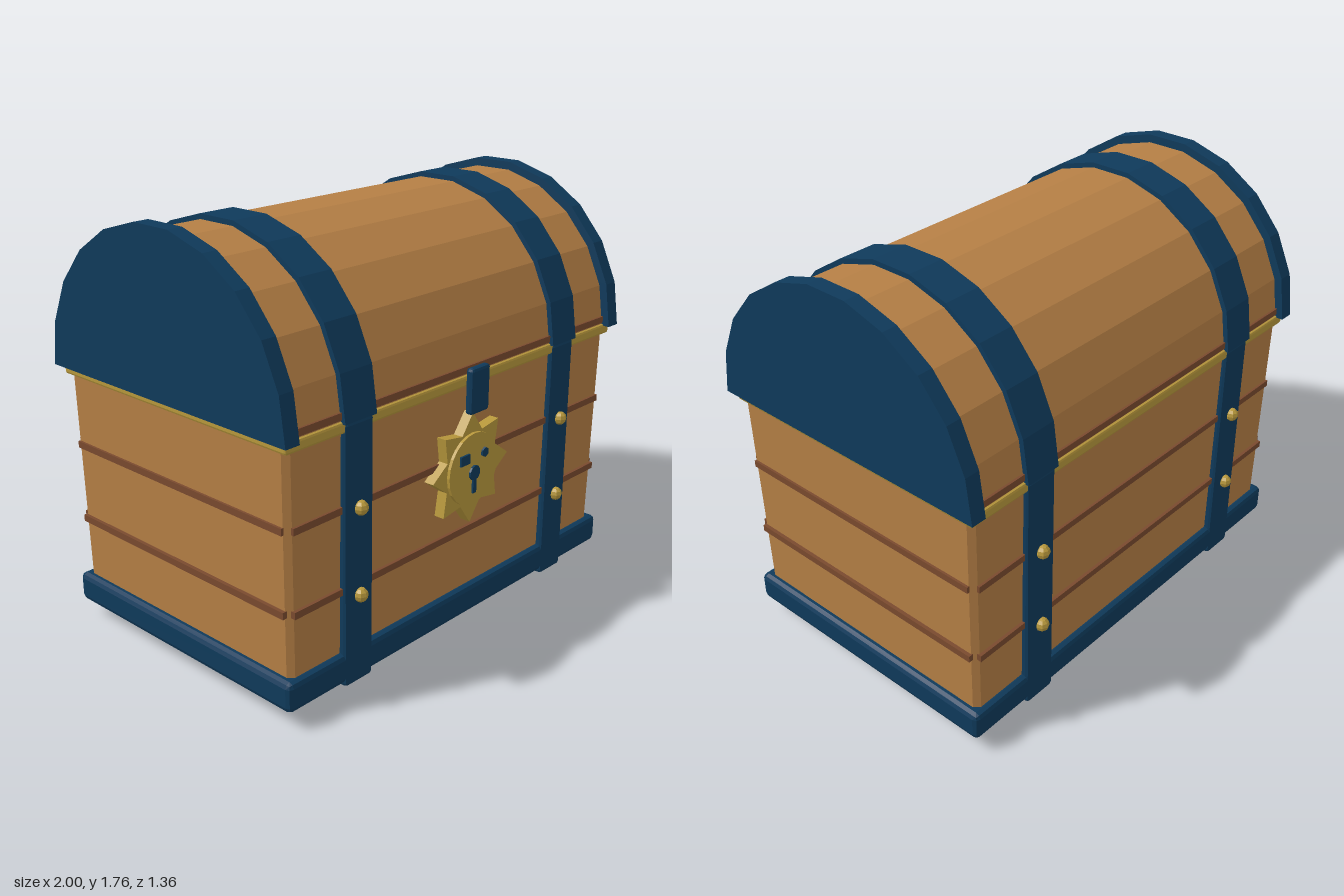
import * as THREE from 'three';
import { RoundedBoxGeometry } from 'three/addons/geometries/RoundedBoxGeometry.js';

const ZC = -0.01; // the chest sits slightly back so the clasp fits in front
const LID_Y = 1.112;

function material(name, color) {
  const m = new THREE.MeshStandardMaterial({ color });
  m.name = name;
  return m;
}

// Faceted look: one normal per face
function faceted(geo) {
  const g = geo.index ? geo.toNonIndexed() : geo;
  g.computeVertexNormals();
  return g;
}

// Half-round barrel section with eleven flat staves, running along x
function barrel(radius, width) {
  const pts = [];
  for (let i = 0; i <= 11; i++) {
    const a = (i / 11) * Math.PI;
    pts.push(new THREE.Vector2(Math.cos(a) * radius, Math.sin(a) * radius));
  }
  const g = new THREE.ExtrudeGeometry(new THREE.Shape(pts), { depth: width, bevelEnabled: false });
  g.translate(0, 0, -width / 2);
  g.rotateY(Math.PI / 2);
  return faceted(g);
}

// Upright box with chamfered corners that widens towards the top
function taperedBody(hx, hz, y0, y1, c, flareX, flareZ) {
  const s = new THREE.Shape([
    [hx - c, -hz], [hx, -hz + c], [hx, hz - c], [hx - c, hz],
    [-hx + c, hz], [-hx, hz - c], [-hx, -hz + c], [-hx + c, -hz],
  ].map(([x, y]) => new THREE.Vector2(x, y)));
  const g = new THREE.ExtrudeGeometry(s, { depth: y1 - y0, bevelEnabled: false });
  g.rotateX(-Math.PI / 2);
  g.translate(0, y0, 0);
  const p = g.attributes.position;
  for (let i = 0; i < p.count; i++) {
    const t = (p.getY(i) - y0) / (y1 - y0);
    p.setX(i, p.getX(i) * (1 + flareX * t));
    p.setZ(i, p.getZ(i) * (1 + flareZ * t));
  }
  return faceted(g);
}

export function createModel() {
  const root = new THREE.Group();
  root.name = 'treasureChest';
  const wood = material('wood', 0xb57f45);
  const darkWood = material('darkWood', 0x7a4a2e);
  const blue = material('blueMetal', 0x0f3a5b);
  const gold = material('gold', 0xb8983c);

  function add(name, geo, mat, x = 0, y = 0, z = ZC) {
    const m = new THREE.Mesh(geo, mat);
    m.name = name;
    m.position.set(x, y, z);
    root.add(m);
    return m;
  }
  const box = (w, h, d, r) => faceted(r ? new RoundedBoxGeometry(w, h, d, 1, r) : new THREE.BoxGeometry(w, h, d));

  // Body, base and rim
  add('body', taperedBody(0.945, 0.602, 0.15, 1.09, 0.022, 0.016, 0.016), wood);
  add('base', box(1.96, 0.122, 1.26, 0.022), blue, 0, 0.135);
  add('goldRim', box(1.95, 0.046, 1.258, 0.01), gold, 0, 1.097);

  // Plank seams round the body
  for (const y of [0.455, 0.78]) {
    add('frontBackSeam', box(1.87, 0.028, 1.238), darkWood, 0, y);
    add('sideSeam', box(1.93, 0.028, 1.176), darkWood, 0, y);
  }

  // Lid
  add('lid', barrel(0.62, 1.9), wood, 0, LID_Y);
  add('lidSeam', box(1.88, 0.028, 1.247), darkWood, 0, 1.14);

  for (const s of [-1, 1]) {
    // End caps and straps
    add('lidCap', barrel(0.655, 0.066), blue, s * 0.967, LID_Y);
    add('lidStrap', barrel(0.641, 0.162), blue, s * 0.62, LID_Y);
    add('bodyStrap', box(0.148, 1.055, 1.268, 0.014), blue, s * 0.62, 0.5855);

    for (const f of [-1, 1]) {
      // Rivets
      for (const y of [0.425, 0.775]) {
        add('rivet', faceted(new THREE.SphereGeometry(0.029, 8, 6)), gold, s * 0.62, y, ZC + f * 0.64);
      }
      // Pointed feet
      const profile = [[0, 0], [0.09, 0.038], [0.12, 0.062], [0.11, 0.1], [0, 0.1]];
      const foot = new THREE.LatheGeometry(profile.map(([x, y]) => new THREE.Vector2(x, y)), 6, Math.PI / 6);
      add('foot', faceted(foot), darkWood, s * 0.82, 0, ZC + f * 0.475);
    }
  }

  // Clasp
  add('clasp', box(0.112, 0.188, 0.035, 0.013), blue, 0, 1.073, 0.66);

  // Sun-shaped lock plate
  const star = [];
  for (let i = 0; i < 16; i++) {
    const a = (i / 16) * Math.PI * 2;
    const r = i % 2 ? 0.16 : 0.232;
    star.push(new THREE.Vector2(Math.cos(a) * r, Math.sin(a) * r));
  }
  add('sunRays', faceted(new THREE.ExtrudeGeometry(new THREE.Shape(star), { depth: 0.045, bevelEnabled: false })),
    gold, 0, 0.74, 0.597);
  const disc = (r, h, n) => faceted(new THREE.CylinderGeometry(r, r, h, n).rotateX(Math.PI / 2));
  add('sunDisc', disc(0.15, 0.05, 24), gold, 0, 0.74, 0.63);

  // Face and keyhole
  add('squareEye', box(0.055, 0.04, 0.009), blue, -0.062, 0.795, 0.659);
  add('roundEye', disc(0.021, 0.009, 6), blue, 0.062, 0.795, 0.659);
  add('keyholeTop', disc(0.031, 0.009, 10), blue, 0, 0.725, 0.659);
  add('keyholeSlot', box(0.02, 0.08, 0.009), blue, 0, 0.68, 0.6585);

  return root;
}
